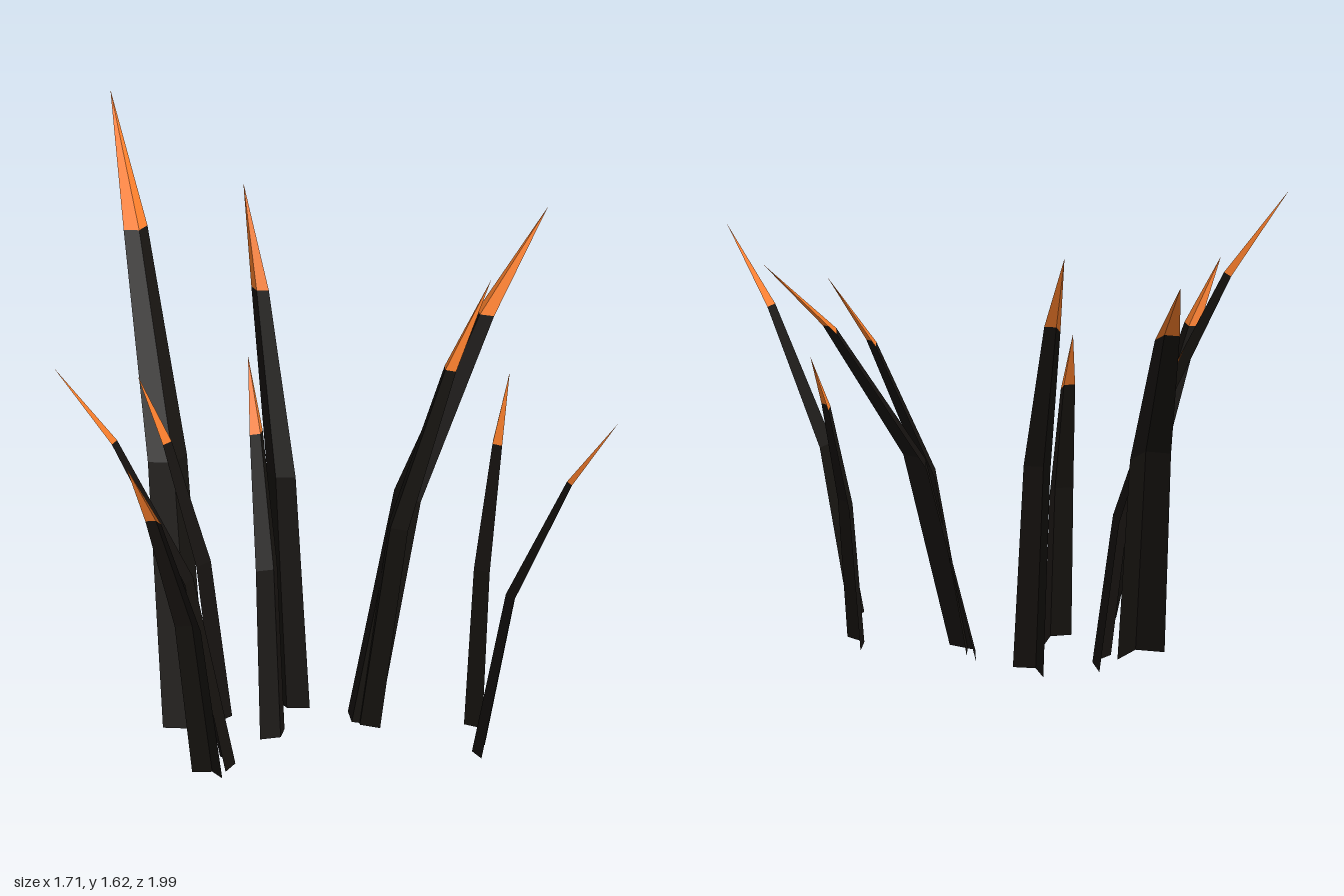
import * as THREE from 'three';

// Each blade: base x, z | tip x, y, z | chord width | heading of the open side in degrees (from +x towards +z)
const BLADES = [
  [-0.27, -0.15, 0.15, 1.625, -1.0, 0.147, -77],
  [-0.153, -0.137, -0.303, 1.053, -0.33, 0.125, 229],
  [0.155, 0.152, 0.855, 1.435, 0.155, 0.14, 0],
  [0.15, 0.187, 0.584, 1.297, 0.222, 0.11, 5],
  [0.262, 0.573, 0.428, 1.128, 0.992, 0.106, 45],
  [0.385, 0.382, 0.602, 1.02, 0.285, 0.105, 12],
  [0.068, -0.063, 0.18, 1.505, -0.427, 0.114, -18],
  [-0.128, 0.077, -0.032, 1.1, -0.15, 0.106, -98],
  [-0.385, 0.16, -0.855, 1.312, -0.048, 0.12, 212],
  [-0.475, 0.197, -0.759, 1.04, 0.168, 0.1, 158],
];

// Shared growth curve: height fraction, lean fraction, width fraction
const LEVELS = [[0, 0, 1], [0.46, 0.24, 0.87], [0.81, 0.665, 0.53], [1, 1, 0]];

// V-shaped cross-section (wing, ridge, wing) of a blade at one level
function section([bx, bz, tx, ty, tz, width, deg], [rise, lean, scale]) {
  const a = THREE.MathUtils.degToRad(deg);
  const nx = Math.cos(a), nz = Math.sin(a);
  const cx = bx + (tx - bx) * lean, cz = bz + (tz - bz) * lean;
  const half = width * scale / 2, depth = width * scale * 0.31;
  return [[-half, 0], [0, -depth], [half, 0]].map(([s, d]) =>
    new THREE.Vector3(cx - nz * s + nx * d, ty * rise, cz + nx * s + nz * d));
}

// Folded strip joining consecutive sections
function foldedStrip(sections) {
  const points = [];
  for (let i = 0; i < sections.length - 1; i++) {
    const lo = sections[i], hi = sections[i + 1];
    for (let j = 0; j < 2; j++) {
      points.push(lo[j], hi[j], lo[j + 1]);
      if (hi[j].distanceTo(hi[j + 1]) > 1e-6) points.push(lo[j + 1], hi[j], hi[j + 1]);
    }
  }
  const geometry = new THREE.BufferGeometry().setFromPoints(points);
  geometry.computeVertexNormals();
  return geometry;
}

export function createModel() {
  const group = new THREE.Group();
  group.name = 'grassTuft';
  const material = (color) => new THREE.MeshStandardMaterial({ color, flatShading: true, side: THREE.DoubleSide });
  const dark = material(0x15120f), orange = material(0xf57c2a);

  for (const spec of BLADES) {
    const rings = LEVELS.map((level) => section(spec, level));
    const blade = new THREE.Group();
    blade.name = 'blade';
    // Dark stalk
    const stalk = new THREE.Mesh(foldedStrip(rings.slice(0, 3)), dark);
    stalk.name = 'stalk';
    // Orange pointed tip
    const tip = new THREE.Mesh(foldedStrip(rings.slice(2)), orange);
    tip.name = 'tip';
    blade.add(stalk, tip);
    group.add(blade);
  }
  return group;
}
